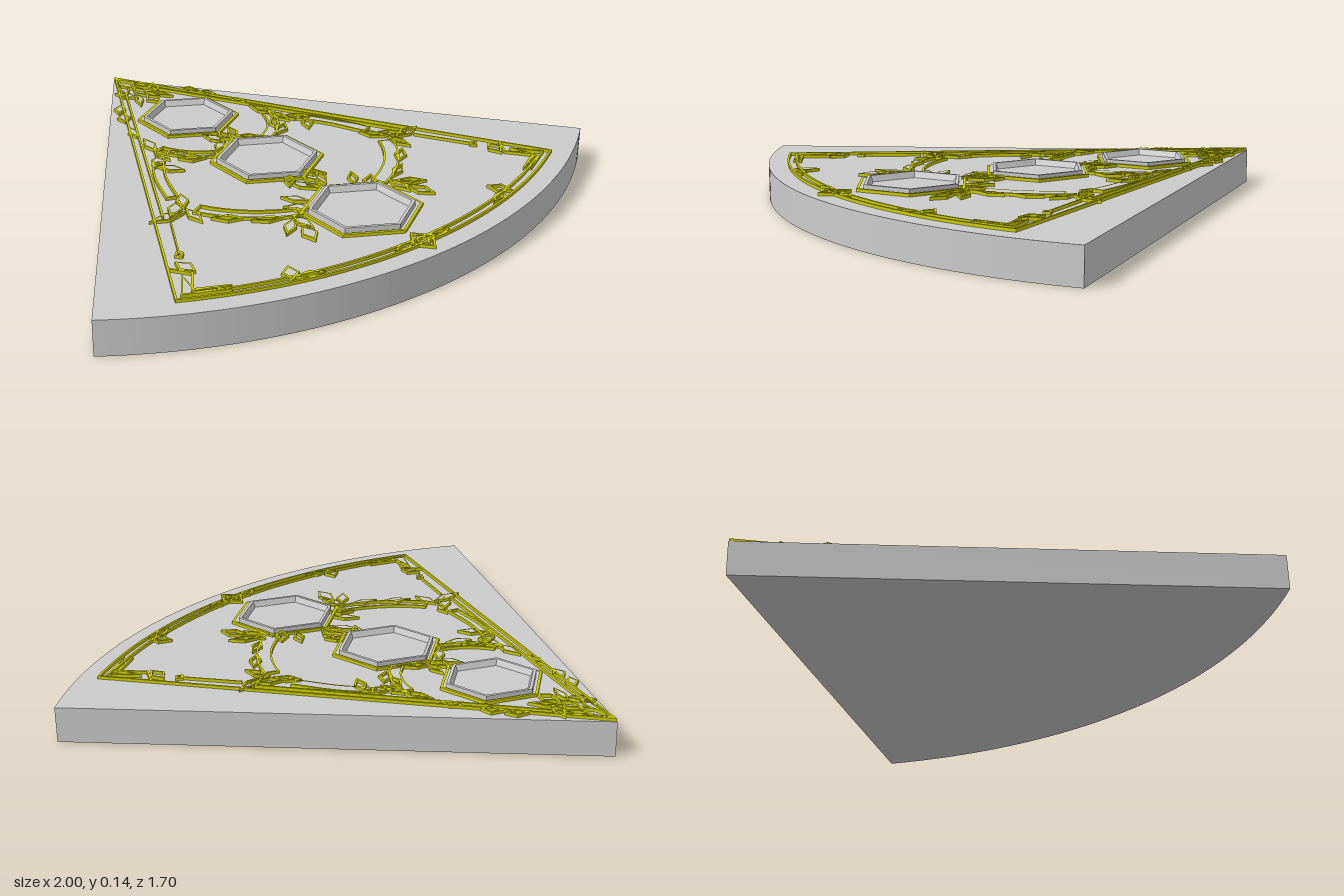
import * as THREE from 'three';
import { mergeGeometries } from 'three/addons/utils/BufferGeometryUtils.js';

const SLAB = 0.115, APEX = -0.85;
const V = (x, z) => new THREE.Vector2(x, z);

// Extrude a plan outline (x, z) between two heights
function plate(shape, bottom, top) {
  const g = new THREE.ExtrudeGeometry(shape, { depth: top - bottom, bevelEnabled: false, curveSegments: 48 });
  return g.rotateX(Math.PI / 2).translate(0, top, 0);
}

// Mitred parallel copy of a polyline
function offset(pts, d, closed) {
  const n = pts.length;
  return pts.map((p, i) => {
    const a = closed || i > 0 ? pts[(i + n - 1) % n] : null;
    const b = closed || i < n - 1 ? pts[(i + 1) % n] : null;
    const u = (a ? p.clone().sub(a) : b.clone().sub(p)).normalize();
    const v = (b ? b.clone().sub(p) : p.clone().sub(a)).normalize();
    const m = V(-u.y - v.y, u.x + v.x).normalize();
    const k = Math.max(0.45, m.dot(V(-v.y, v.x)));
    return p.clone().addScaledVector(m, d / k);
  });
}

// Raised thin line following a polyline
function stroke(pts, closed = true, w = 0.007) {
  const a = offset(pts, w / 2, closed), b = offset(pts, -w / 2, closed);
  if (!closed) return plate(new THREE.Shape([...a, ...b.reverse()]), SLAB, SLAB + 0.01);
  const area = Math.abs(THREE.ShapeUtils.area(a)) > Math.abs(THREE.ShapeUtils.area(b));
  const s = new THREE.Shape(area ? a : b);
  s.holes.push(new THREE.Path(area ? b : a));
  return plate(s, SLAB, SLAB + 0.01);
}

const flip = pts => pts.map(p => V(-p.x, p.y));
const arc = (cz, r, a0, a1, n = 20) => Array.from({ length: n + 1 }, (_, i) => {
  const t = a0 + (a1 - a0) * i / n;
  return V(Math.sin(t) * r, cz + Math.cos(t) * r);
});
const hex = (cz, r) => Array.from({ length: 6 }, (_, i) =>
  V(Math.sin(i * Math.PI / 3) * r, cz + Math.cos(i * Math.PI / 3) * r));

// Pointed leaf outline; angle 0 points along +z, widest point at fraction f
function leaf(x, z, len, wid, angle = 0, f = 0.5) {
  const o = V(x, z);
  return [V(0, -len / 2), V(wid / 2, (f - 0.5) * len), V(0, len / 2), V(-wid / 2, (f - 0.5) * len)]
    .map(p => p.rotateAround(V(0, 0), -angle).add(o));
}

export function createModel() {
  const group = new THREE.Group();
  const grey = new THREE.MeshStandardMaterial({ color: 0xcccccc, side: THREE.DoubleSide });
  const gold = new THREE.MeshStandardMaterial({ color: 0xcccc00 });
  const add = (name, geo, mat) => {
    const m = new THREE.Mesh(geo, mat);
    m.name = name;
    group.add(m);
  };
  const lines = (name, list) => add(name, mergeGeometries(list), gold);
  // Line plus its mirror image
  const pair = (pts, closed, w) => [stroke(pts, closed, w), stroke(flip(pts), closed, w)];

  // Sector slab
  const half = Math.atan2(1, 1.375);
  add('slab', plate(new THREE.Shape([V(0, APEX), ...arc(APEX, 1.7, half, -half, 64)]), 0, SLAB), grey);

  // Border lines along the sides and the arc
  const inner = Math.atan2(0.765, 1.435);
  lines('border', [
    stroke([V(0, -0.84), ...arc(APEX, 1.633, inner, -inner, 48)]),
    stroke(arc(APEX, 1.605, inner - 0.035, -inner + 0.035, 48), false),
    ...pair([V(0.05, -0.70), V(0.51, 0.17)], false),
    ...pair([V(0.51, 0.21), V(0.61, 0.39)], false, 0.005),
    ...pair([V(0.685, 0.44), V(0.645, 0.50), V(0.70, 0.575), V(0.60, 0.625)], false),
    ...pair([V(0.68, 0.50), V(0.74, 0.58), V(0.62, 0.64), V(0.65, 0.60), V(0.70, 0.585)]),
  ]);

  // Corner, arc and apex leaves
  const tips = [
    leaf(0, 0.77, 0.10, 0.08), leaf(0, 0.77, 0.05, 0.04),
    leaf(0, -0.77, 0.11, 0.05), leaf(0, -0.68, 0.09, 0.04), leaf(0, -0.60, 0.07, 0.05),
  ].map(p => stroke(p));
  [
    [0.64, 0.46, 0.07, 0.045, -0.2], [0.61, 0.39, 0.025, 0.025, 0],
    [0.43, 0.675, 0.07, 0.045, 0.5], [0.39, 0.715, 0.08, 0.03, 1.9], [0.07, 0.765, 0.07, 0.03, 1.5],
    [0.035, -0.73, 0.09, 0.03, 0.4], [0.06, -0.68, 0.08, 0.035, -0.5], [0.045, -0.62, 0.09, 0.025, 0.5],
    [0.15, -0.59, 0.06, 0.035, 0.7], [0.18, -0.52, 0.06, 0.04, 0.5], [0.225, -0.40, 0.07, 0.03, 0.3],
  ].forEach(a => tips.push(...pair(leaf(...a))));
  lines('borderLeaves', tips);

  // Curved scroll bands: lower ring, side connectors and upper crescent
  const band = (pts, w) => pair([...offset(pts, w / 2), ...offset(pts, -w / 2).reverse()]);
  const side = new THREE.SplineCurve([V(0.30, -0.15), V(0.36, -0.05), V(0.41, 0.08)]).getPoints(10);
  lines('scrollBands', [
    ...band(arc(-0.01, 0.445, 1.10, 0.38), 0.045),
    ...band(side, 0.035),
    ...band(arc(-0.31, 0.245, 1.25, 0.45, 14), 0.035),
  ]);

  // Leaves sprouting from the scrolls
  const leaves = [];
  [
    [0.50, 0.18, 0.11, 0.04, 1.7], [0.45, 0.15, 0.10, 0.04, 0.9], [0.43, 0.22, 0.09, 0.035, 0.1],
    [0.40, 0.12, 0.08, 0.035, 0.5], [0.36, 0.30, 0.09, 0.035, -0.9], [0.27, 0.38, 0.09, 0.03, -1.1],
    [0.29, -0.16, 0.09, 0.04, 0.9], [0.25, -0.20, 0.10, 0.04, 0.1], [0.24, -0.28, 0.10, 0.035, 0.2],
    [0.29, -0.09, 0.08, 0.035, -0.6], [0.19, -0.11, 0.08, 0.04, -1.0], [0.20, -0.16, 0.07, 0.03, -0.4],
    [0.23, 0.52, 0.10, 0.045, 0.3, 0.6], [0.25, 0.46, 0.09, 0.035, 0.9], [0.20, 0.46, 0.09, 0.035, 0.0],
    [0.15, 0.38, 0.08, 0.04, -0.8], [0.12, 0.33, 0.08, 0.03, -0.6],
    [0.04, 0.27, 0.09, 0.03, -0.4], [0.05, 0.22, 0.07, 0.03, 0.7],
    [0.04, -0.19, 0.08, 0.03, -0.3], [0.06, -0.13, 0.08, 0.03, 0.9],
  ].forEach(a => leaves.push(...pair(leaf(...a))));
  leaves.push(stroke(leaf(0, -0.18, 0.07, 0.035)), stroke(leaf(0, 0.27, 0.08, 0.035)));
  lines('scrollLeaves', leaves);

  // Hexagonal frames: line around a raised rim with sloping inner wall
  [[-0.387, 0.155, 0.175], [0.045, 0.167, 0.188], [0.505, 0.168, 0.192]].forEach(([cz, r, outer]) => {
    lines('hexOutline', [stroke(hex(cz, outer - 0.004), true, 0.009)]);
    const rim = new THREE.LatheGeometry(
      [V(r, SLAB), V(r, 0.135), V(r - 0.011, 0.135), V(r - 0.02, SLAB)], 6).toNonIndexed();
    rim.computeVertexNormals();
    rim.translate(0, 0, cz);
    add('hexRim', rim, grey);
  });
  return group;
}
